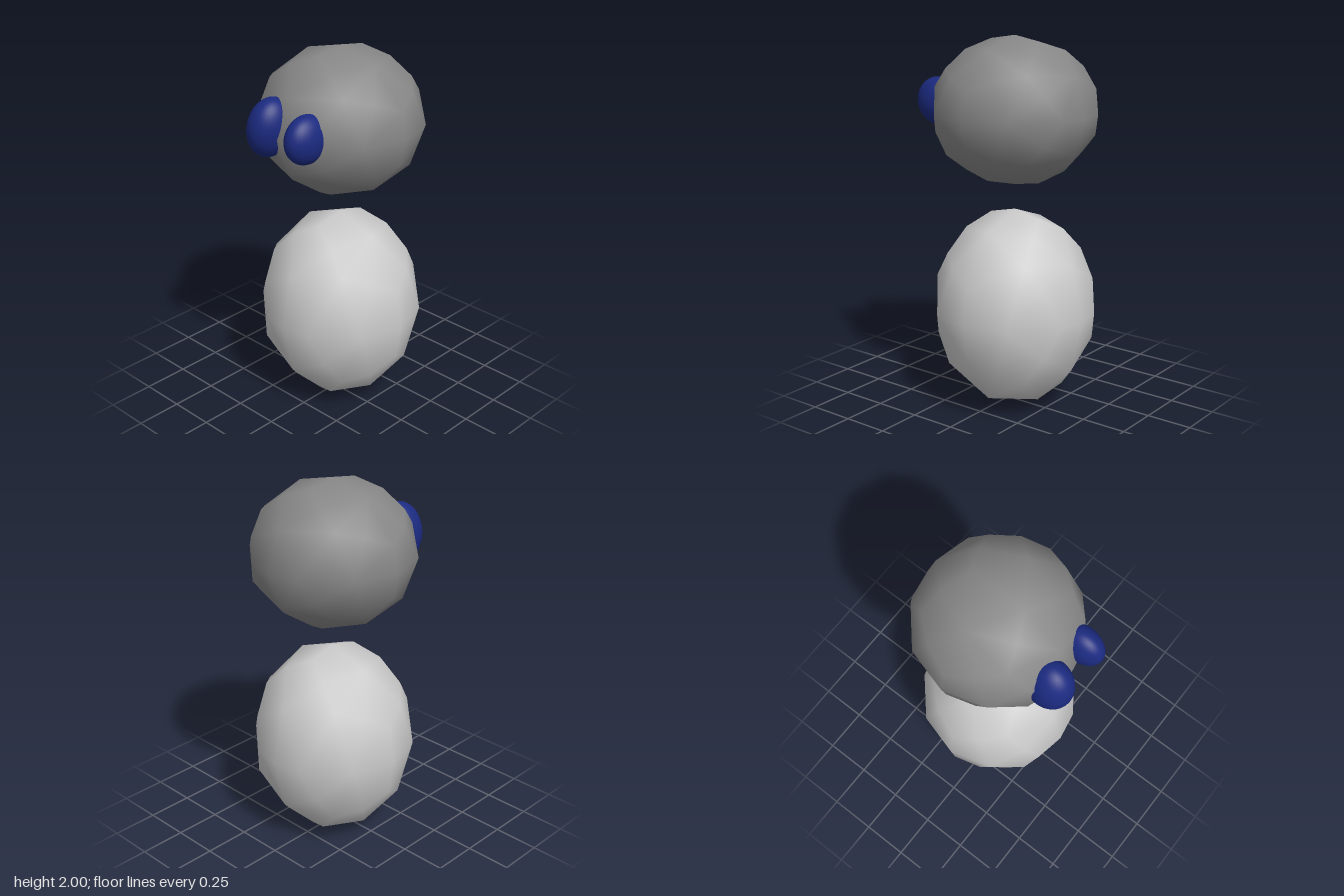
import * as THREE from 'three';

// Unit sphere: an icosahedron whose faces are each split into six around their centre.
function facetedSphere() {
  const ico = new THREE.IcosahedronGeometry(1, 0).getAttribute('position');
  const points = [];
  for (let f = 0; f < ico.count; f += 3) {
    const c = [0, 1, 2].map((k) => new THREE.Vector3().fromBufferAttribute(ico, f + k));
    const centre = c[0].clone().add(c[1]).add(c[2]).normalize();
    for (let k = 0; k < 3; k++) {
      const a = c[k], b = c[(k + 1) % 3];
      const mid = a.clone().add(b).normalize();
      points.push(a, mid, centre, mid, b, centre);
    }
  }
  const geometry = new THREE.BufferGeometry().setFromPoints(points);
  // On a unit sphere the smooth normals equal the positions.
  geometry.setAttribute('normal', geometry.getAttribute('position').clone());
  return geometry;
}

export function createModel() {
  const group = new THREE.Group();
  const faceted = facetedSphere();
  const round = new THREE.SphereGeometry(1, 32, 24);

  const lightGrey = new THREE.MeshStandardMaterial({ color: 0xcccccc });
  const darkGrey = new THREE.MeshStandardMaterial({ color: 0x888888 });
  const blue = new THREE.MeshStandardMaterial({ color: 0x1b2a80 });

  function ellipsoid(name, geometry, material, centre, radii, tilt = 0) {
    const mesh = new THREE.Mesh(geometry, material);
    mesh.name = name;
    mesh.position.set(...centre);
    mesh.scale.set(...radii);
    mesh.rotation.z = tilt;
    group.add(mesh);
  }

  // Egg-shaped body with a separate head floating above it
  ellipsoid('body', faceted, lightGrey, [0, 0.545, -0.043], [0.44, 0.542, 0.44]);
  ellipsoid('head', faceted, darkGrey, [0, 1.61, -0.043], [0.44, 0.39, 0.44]);

  // Uneven eyes: the right one is larger and leans inwards
  ellipsoid('rightEye', round, blue, [-0.108, 1.643, 0.35], [0.104, 0.16, 0.13], -0.17);
  ellipsoid('leftEye', round, blue, [0.144, 1.645, 0.35], [0.084, 0.126, 0.13]);

  return group;
}
